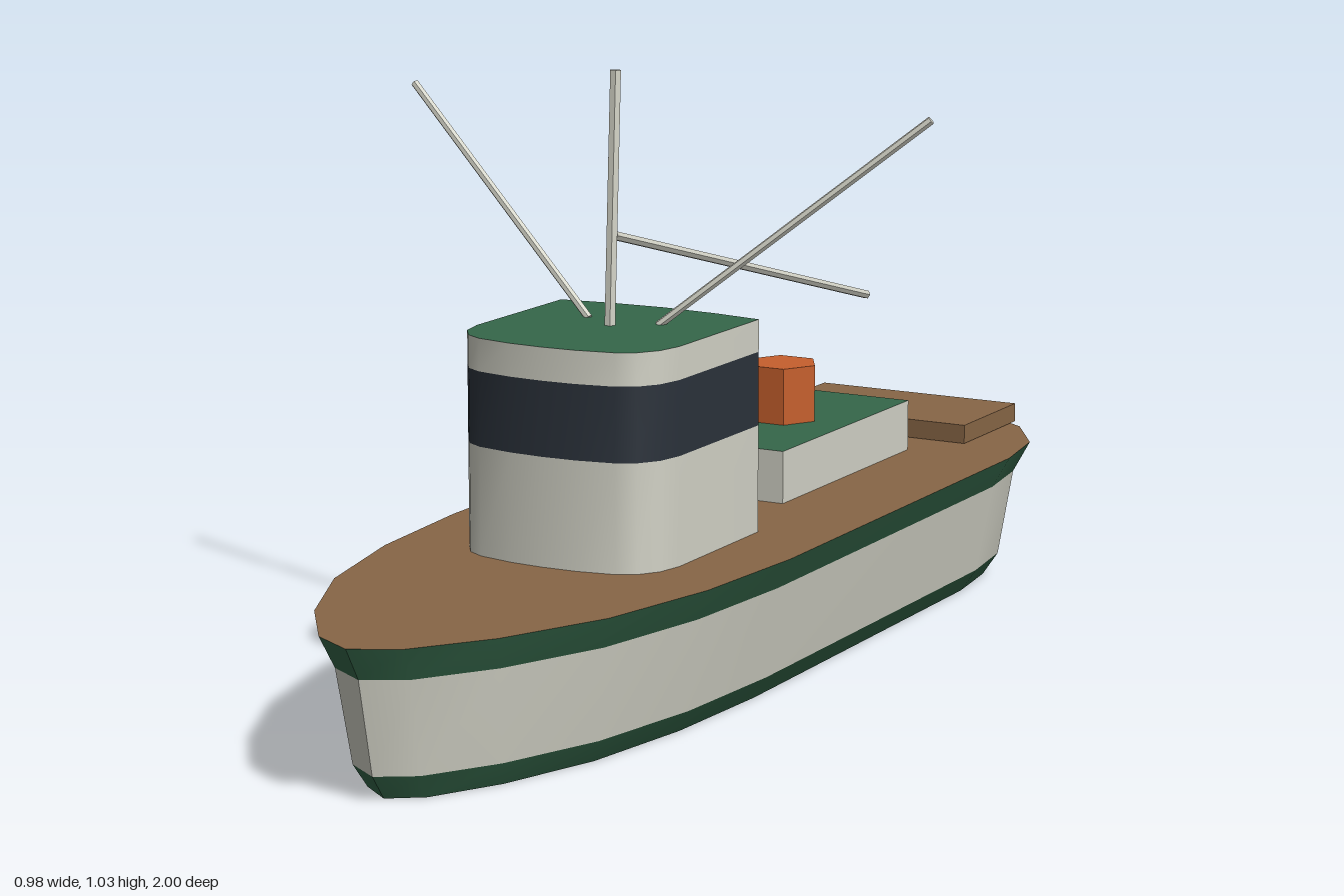
import * as THREE from 'three';
import { toCreasedNormals } from 'three/addons/utils/BufferGeometryUtils.js';

const paint = (name, color) => new THREE.MeshStandardMaterial({ name, color, side: THREE.DoubleSide });

// Wall between two outlines of [x, z] points at two heights
function strip(low, yLow, high, yHigh) {
  const pos = [], index = [], n = low.length;
  low.forEach(([x, z]) => pos.push(x, yLow, z));
  high.forEach(([x, z]) => pos.push(x, yHigh, z));
  for (let i = 0; i < n - 1; i++) index.push(i, i + 1, n + i + 1, i, n + i + 1, n + i);
  const g = new THREE.BufferGeometry();
  g.setAttribute('position', new THREE.Float32BufferAttribute(pos, 3));
  g.setIndex(index);
  g.computeVertexNormals();
  return g;
}

// Flat horizontal surface filling an outline
function cap(outline, y) {
  const shape = new THREE.Shape(outline.map(([x, z]) => new THREE.Vector2(x, -z)));
  return new THREE.ShapeGeometry(shape).rotateX(-Math.PI / 2).translate(0, y, 0);
}

// Six-sided pole between two points
function pole(a, b, radius) {
  const from = new THREE.Vector3(...a), to = new THREE.Vector3(...b);
  const dir = to.clone().sub(from);
  const g = new THREE.CylinderGeometry(radius, radius, dir.length(), 6);
  g.rotateY(Math.PI / 6);
  g.applyQuaternion(new THREE.Quaternion().setFromUnitVectors(new THREE.Vector3(0, 1, 0), dir.normalize()));
  g.translate(...from.add(to).multiplyScalar(0.5).toArray());
  return toCreasedNormals(g, 0.5);
}

export function createModel() {
  const model = new THREE.Group();
  model.name = 'workBoat';
  const cream = paint('cream', 0xd2d2c6), green = paint('green', 0x35674a);
  const brown = paint('deckBrown', 0x876646), glass = paint('darkGlass', 0x2b323b);
  const orange = paint('orange', 0xc65f2d);
  const add = (name, geometry, material, parent = model) => {
    const mesh = new THREE.Mesh(geometry, material);
    mesh.name = name;
    parent.add(mesh);
    return mesh;
  };

  // Deck outline from the bow along the left side to the stern, then mirrored
  const side = [[0, 1], [0.075, 0.96], [0.165, 0.84], [0.25, 0.66], [0.3, 0.44], [0.32, 0.2],
    [0.32, -0.65], [0.297, -0.79], [0.225, -0.905], [0.12, -0.978], [0, -1]];
  const deckLine = [...side, ...side.slice(0, -1).reverse().map(([x, z]) => [-x, z])];
  const ring = (half, bow, stern) =>
    deckLine.map(([x, z]) => [x * half / 0.32, stern + (z + 1) / 2 * (bow - stern)]);

  // Hull bands, open underneath
  const levels = [
    { y: 0, line: ring(0.23, 0.905, -0.973) },
    { y: 0.042, line: ring(0.26, 0.935, -0.98) },
    { y: 0.2, line: ring(0.29, 0.968, -0.985) },
    { y: 0.255, line: deckLine },
  ];
  const hull = new THREE.Group();
  hull.name = 'hull';
  model.add(hull);
  [['keelBand', green], ['hullSide', cream], ['bulwarkBand', green]].forEach(([name, mat], i) => {
    add(name, strip(levels[i].line, levels[i].y, levels[i + 1].line, levels[i + 1].y), mat, hull);
  });
  add('deck', cap(deckLine.slice(0, -1), 0.255), brown);

  // Wheelhouse with a window band round the sides and front
  const house = new THREE.Group();
  house.name = 'wheelhouse';
  model.add(house);
  const half = [[0, 0.44], [0.06, 0.437], [0.125, 0.425], [0.155, 0.408], [0.178, 0.375], [0.188, 0.33], [0.188, 0.063]];
  const wall = [...half.slice(1).reverse().map(([x, z]) => [-x, z]), ...half];
  const back = [[0.188, 0.063], [0.1, 0.05], [0, 0.044], [-0.1, 0.05], [-0.188, 0.063]];
  add('lowerWall', strip(wall, 0.255, wall, 0.435), cream, house);
  add('windowBand', strip(wall, 0.435, wall, 0.558), glass, house);
  add('upperWall', strip(wall, 0.558, wall, 0.612), cream, house);
  add('backWall', strip(back, 0.255, back, 0.612), cream, house);
  add('roof', cap([...wall, ...back.slice(1, -1)], 0.612), green, house);

  // Hatch with a green top, funnel and stern platform
  add('hatch', new THREE.BoxGeometry(0.26, 0.095, 0.488), [cream, cream, green, cream, cream, cream])
    .position.set(0, 0.2985, -0.38);
  const funnel = new THREE.CylinderGeometry(0.065, 0.065, 0.1, 6).rotateY(Math.PI / 6);
  add('funnel', toCreasedNormals(funnel, 0.5), orange).position.set(0, 0.396, -0.38);
  add('sternPlatform', new THREE.BoxGeometry(0.4, 0.034, 0.224), brown).position.set(0, 0.273, -0.827);

  // Mast, boom and outriggers
  add('mast', pole([0, 0.61, 0.224], [0, 1.025, 0.203], 0.01), cream);
  add('boom', pole([0, 0.757, 0.21], [0, 0.515, -0.712], 0.008), cream);
  for (const s of [1, -1]) {
    add(s > 0 ? 'leftOutrigger' : 'rightOutrigger',
      pole([s * 0.065, 0.61, 0.18], [s * 0.486, 0.957, 0.045], 0.007), cream);
  }
  return model;
}
